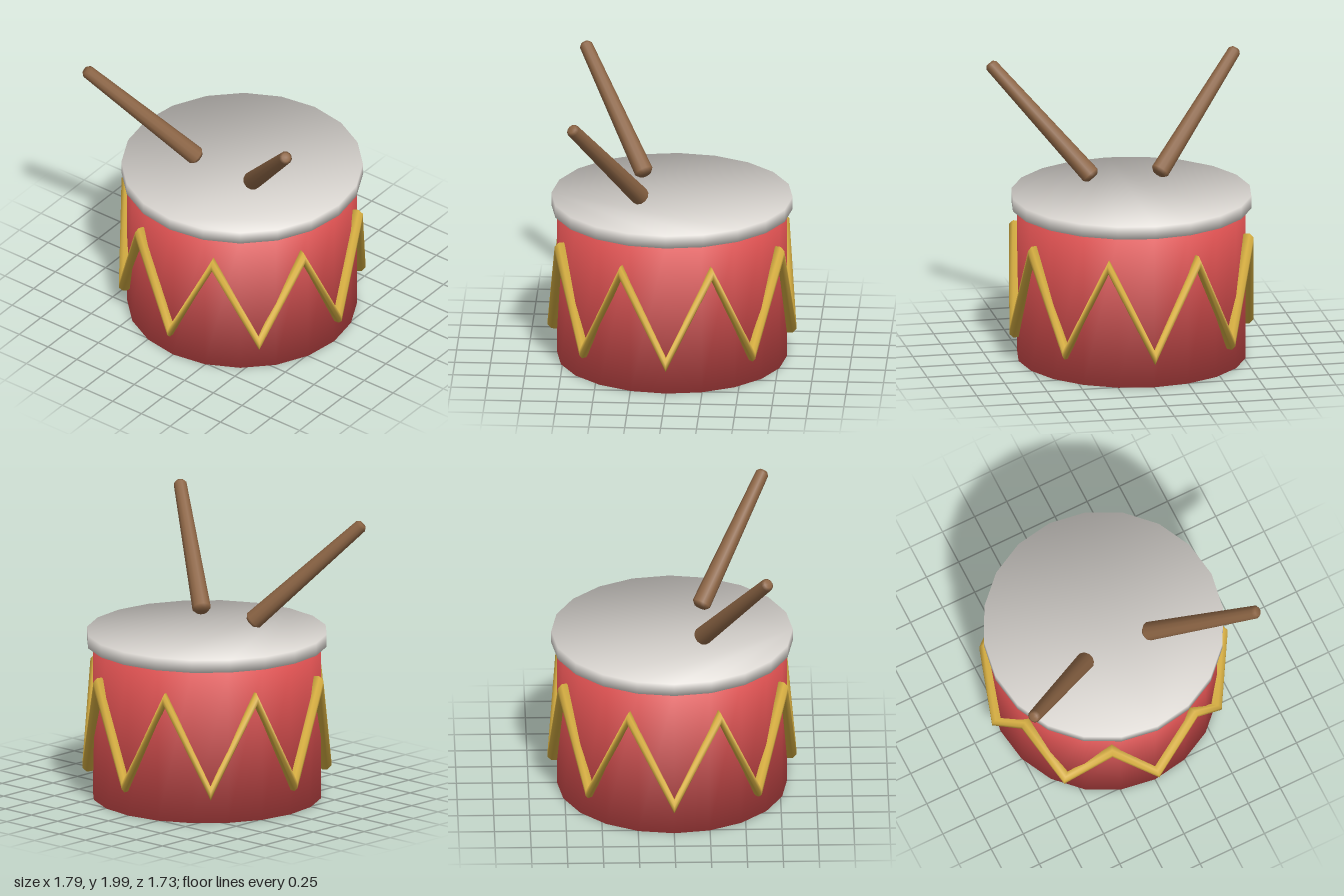
import * as THREE from 'three';
import { mergeVertices } from 'three/addons/utils/BufferGeometryUtils.js';

const paint = (name, color) => {
  const m = new THREE.MeshStandardMaterial({ color });
  m.name = name;
  return m;
};

// Closed 20-sided drum section whose smooth normals roll over the rim onto the caps
function softCylinder(radius, y0, y1, sides = 20) {
  const positions = [], normals = [], index = [];
  for (const [y, ny] of [[y0, -0.67], [y1, 0.67]]) {
    for (let i = 0; i < sides; i++) {
      const a = (i / sides) * Math.PI * 2, s = Math.sin(a), c = Math.cos(a);
      positions.push(radius * s, y, radius * c);
      normals.push(0.742 * s, ny, 0.742 * c);
    }
  }
  for (let i = 0; i < sides; i++) {
    const j = (i + 1) % sides;
    index.push(i, j, sides + j, i, sides + j, sides + i);
    if (i > 0 && i < sides - 1) {
      index.push(0, i + 1, i); // bottom cap
      index.push(sides, sides + i, sides + i + 1); // top cap
    }
  }
  const g = new THREE.BufferGeometry();
  g.setAttribute('position', new THREE.Float32BufferAttribute(positions, 3));
  g.setAttribute('normal', new THREE.Float32BufferAttribute(normals, 3));
  g.setIndex(index);
  return g;
}

// Octagonal ring of 16 segments, alternately lowered and raised into a zigzag
function zigzagRope(radius, thickness, low, high) {
  const profile = [];
  for (let k = 0; k <= 8; k++) {
    const a = ((k % 8) + 0.5) * Math.PI / 4;
    profile.push(new THREE.Vector2(radius + thickness * Math.cos(a), thickness * Math.sin(a)));
  }
  let g = new THREE.LatheGeometry(profile, 16);
  const p = g.attributes.position;
  for (let i = 0; i < p.count; i++) {
    const step = Math.floor(i / profile.length);
    p.setY(i, p.getY(i) + (step % 2 ? high : low));
  }
  g.deleteAttribute('normal');
  g.deleteAttribute('uv');
  g = mergeVertices(g, 1e-4);
  g.computeVertexNormals();
  return g;
}

export function createModel() {
  const red = paint('drum red', 0xdb5050);
  const skin = paint('drumskin grey', 0xdedad5);
  const gold = paint('rope gold', 0xd6ae42);
  const wood = paint('stick brown', 0x8b6444);

  const model = new THREE.Group();
  model.name = 'drum';
  const add = (name, geometry, material) => {
    const mesh = new THREE.Mesh(geometry, material);
    mesh.name = name;
    model.add(mesh);
    return mesh;
  };

  add('body', softCylinder(0.8, 0, 1.1), red);
  add('drumhead', softCylinder(0.84, 1.09, 1.18), skin);
  add('zigzagRope', zigzagRope(0.82, 0.05, 0.22, 0.88), gold);

  // Tapered sticks with rounded ends, mirrored left and right
  for (const [name, side] of [['leftStick', 1], ['rightStick', -1]]) {
    const tip = new THREE.Vector3(0.233 * side, 1.24, 0.199);
    const end = new THREE.Vector3(0.873 * side, 1.973, 0.653);
    const axis = end.clone().sub(tip);
    const len = axis.length();
    const profile = [
      [0, 0], [0.044, 0], [0.066, 0.025], [0.046, len - 0.02], [0.03, len], [0, len],
    ].map(([r, y]) => new THREE.Vector2(r, y));
    const stick = add(name, new THREE.LatheGeometry(profile, 12), wood);
    stick.position.copy(tip);
    stick.quaternion.setFromUnitVectors(new THREE.Vector3(0, 1, 0), axis.normalize());
  }
  return model;
}
